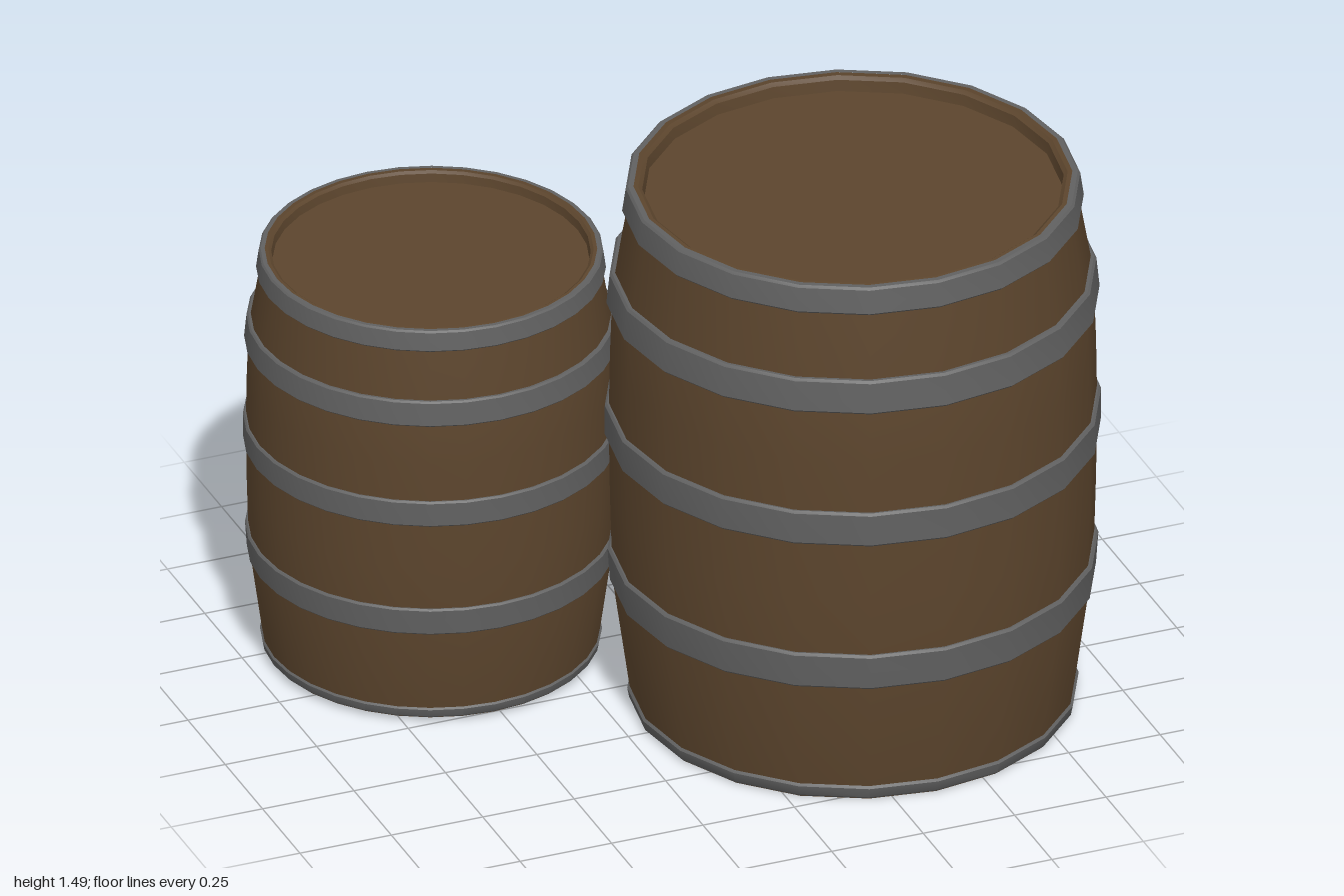
import * as THREE from 'three';
import { toCreasedNormals } from 'three/addons/utils/BufferGeometryUtils.js';

const wood = new THREE.MeshStandardMaterial({ color: 0x5c452d });
wood.name = 'dark wood';
const iron = new THREE.MeshStandardMaterial({ color: 0x616161 });
iron.name = 'grey iron';

// Stave outline as [radius, height], from bottom to top
const outline = [[0.56, 0], [0.567, 0.04], [0.61, 0.35], [0.617, 0.6], [0.62, 0.81],
  [0.617, 1.0], [0.61, 1.2], [0.572, 1.42], [0.566, 1.48]];
// Hoops as [bottom, top, bottom radius, top radius]
const hoops = [[0.002, 0.04, 0.568, 0.573], [0.345, 0.445, 0.617, 0.623], [0.765, 0.86, 0.63, 0.63],
  [1.145, 1.237, 0.626, 0.618], [1.41, 1.485, 0.586, 0.577]];

function lathe(name, points, sides, material) {
  const profile = points.map(([r, y]) => new THREE.Vector2(r, y));
  const mesh = new THREE.Mesh(toCreasedNormals(new THREE.LatheGeometry(profile, sides), 0.6), material);
  mesh.name = name;
  return mesh;
}

function barrel(name, sides) {
  const group = new THREE.Group();
  group.name = name;
  // Staves with closed bottom, rounded rim and the inner wall down to the lid
  group.add(lathe('staves', [[0, 0], ...outline, [0.545, 1.483], [0.535, 1.475], [0.53, 1.44]], sides, wood));
  // Recessed lid
  group.add(lathe('lid', [[0.54, 1.445], [0, 1.445]], sides, wood));
  // Iron hoops with small bevels
  hoops.forEach(([y0, y1, r0, r1], i) => {
    const b = 0.006;
    group.add(lathe('hoop' + (i + 1), [[r0 - 0.03, y0], [r0 - b, y0], [r0, y0 + b],
      [r1, y1 - b], [r1 - b, y1], [r1 - 0.02, y1]], sides, iron));
  });
  return group;
}

export function createModel() {
  const model = new THREE.Group();
  model.name = 'barrels';
  const large = barrel('largeBarrel', 20);
  large.position.set(0.365, 0, 0.248);
  const small = barrel('smallBarrel', 32);
  small.scale.setScalar(0.756);
  small.position.set(-0.523, 0.012, -0.403);
  model.add(large, small);
  return model;
}
